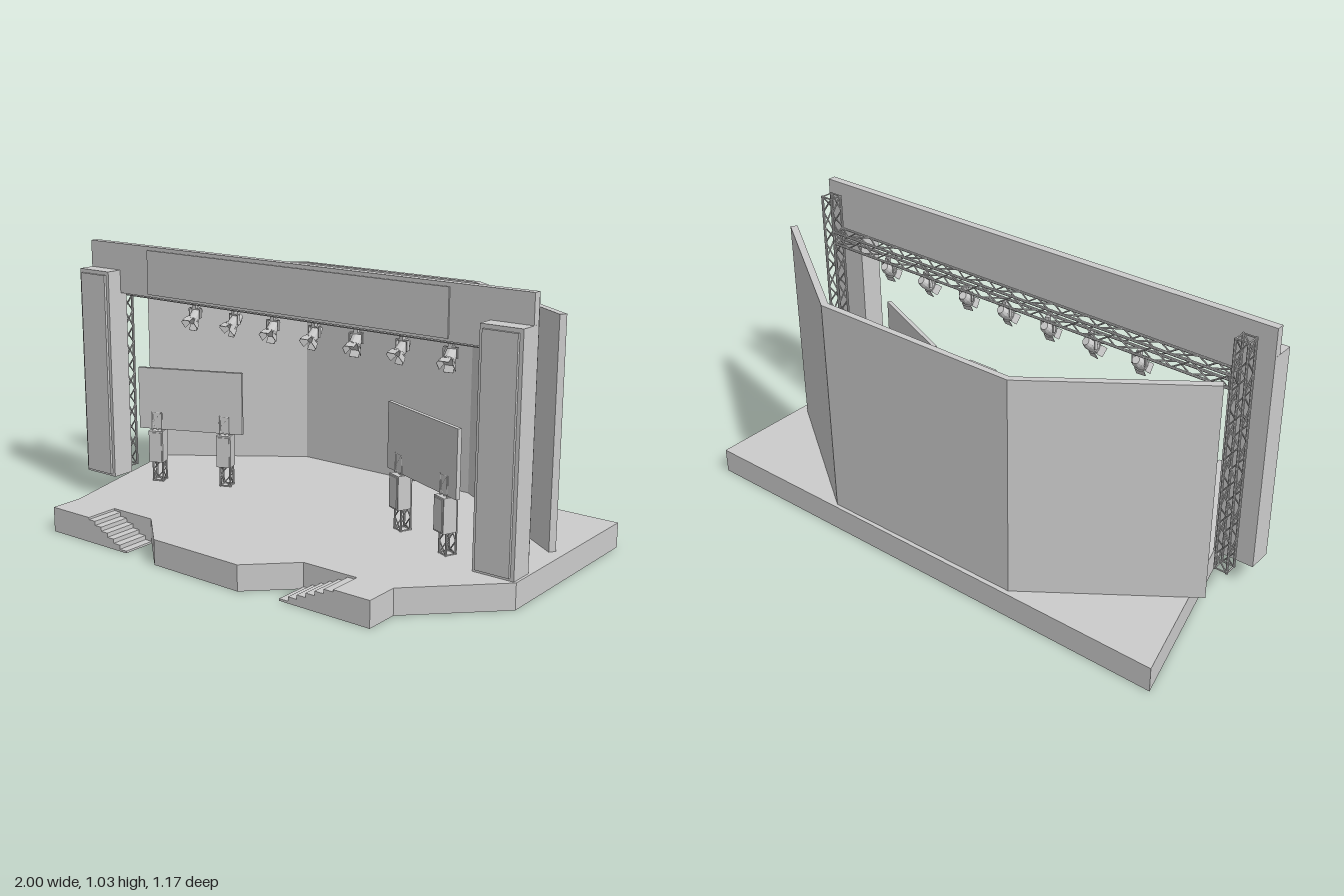
import * as THREE from 'three';
import { mergeGeometries } from 'three/addons/utils/BufferGeometryUtils.js';

const grey = new THREE.MeshStandardMaterial({ color: 0xcccccc, flatShading: true });
const FLOOR = 0.095;

function add(parent, name, geometry, x = 0, y = 0, z = 0) {
  const mesh = new THREE.Mesh(geometry, grey);
  mesh.name = name;
  mesh.position.set(x, y, z);
  parent.add(mesh);
  return mesh;
}

// Box given by its lower and upper corners
function boxBetween(parent, name, [x0, y0, z0], [x1, y1, z1]) {
  return add(parent, name, new THREE.BoxGeometry(x1 - x0, y1 - y0, z1 - z0),
    (x0 + x1) / 2, (y0 + y1) / 2, (z0 + z1) / 2);
}

// Plan outline of [x, z] points raised from y0 by height
function raisePlan(points, y0, height) {
  const shape = new THREE.Shape(points.map(([x, z]) => new THREE.Vector2(x, -z)));
  return new THREE.ExtrudeGeometry(shape, { depth: height, bevelEnabled: false })
    .rotateX(-Math.PI / 2).translate(0, y0, 0);
}

function rod(a, b, r, sides = 6) {
  const dir = b.clone().sub(a);
  const g = new THREE.CylinderGeometry(r, r, dir.length(), sides);
  g.applyQuaternion(new THREE.Quaternion().setFromUnitVectors(
    new THREE.Vector3(0, 1, 0), dir.normalize()));
  const mid = a.clone().add(b).multiplyScalar(0.5);
  return g.translate(mid.x, mid.y, mid.z);
}

// Square lattice truss rising along +y from the origin
function trussGeometry(width, length, panels, chord = 0.005, brace = 0.003) {
  const h = width / 2 - chord, parts = [];
  const corners = [[-h, -h], [h, -h], [h, h], [-h, h]];
  const at = (i, y) => new THREE.Vector3(corners[i % 4][0], y, corners[i % 4][1]);
  for (let i = 0; i < 4; i++) {
    parts.push(rod(at(i, 0), at(i, length), chord, 8));
    for (const y of [brace, length - brace]) parts.push(rod(at(i, y), at(i + 1, y), brace));
    for (let p = 0; p < panels; p++) {
      const flip = p % 2;
      parts.push(rod(at(i + flip, length * p / panels),
        at(i + 1 - flip, length * (p + 1) / panels), brace));
    }
  }
  return mergeGeometries(parts);
}

// Staircase descending from the outer platform towards the middle
function stairsGeometry(xTop, xEnd, z0, z1, steps) {
  const shape = new THREE.Shape();
  shape.moveTo(xTop, 0);
  for (let i = 0; i < steps; i++) {
    const y = FLOOR * (1 - (i + 0.5) / steps);
    shape.lineTo(xTop + (xEnd - xTop) * i / steps, y);
    shape.lineTo(xTop + (xEnd - xTop) * (i + 1) / steps, y);
  }
  shape.lineTo(xEnd, 0);
  return new THREE.ExtrudeGeometry(shape, { depth: z1 - z0, bevelEnabled: false })
    .translate(0, 0, z0);
}

// Spotlight hanging from y = 0, aimed forward and down
function createSpotlight() {
  const light = new THREE.Group();
  light.name = 'spotlight';
  add(light, 'clamp', new THREE.BoxGeometry(0.016, 0.022, 0.016), 0, -0.004, 0);
  add(light, 'yokeBar', new THREE.BoxGeometry(0.052, 0.005, 0.012), 0, -0.015, 0);
  for (const s of [-1, 1])
    add(light, 'yokeArm', new THREE.BoxGeometry(0.004, 0.036, 0.012), s * 0.025, -0.032, 0);
  const head = new THREE.Group();
  head.name = 'lampHead';
  head.position.set(0, -0.042, 0);
  head.rotation.x = 0.72;
  const turn = g => g.rotateX(Math.PI / 2);
  add(head, 'lampBack', turn(new THREE.CylinderGeometry(0.021, 0.014, 0.02, 12)), 0, 0, -0.024);
  add(head, 'lampBody', turn(new THREE.CylinderGeometry(0.021, 0.021, 0.036, 12)), 0, 0, 0.004);
  add(head, 'lampRim', turn(new THREE.CylinderGeometry(0.025, 0.025, 0.006, 12)), 0, 0, 0.024);
  for (let i = 0; i < 4; i++) {
    const flap = new THREE.BoxGeometry(0.036, 0.002, 0.026).translate(0, 0, 0.013)
      .rotateX(-0.35).translate(0, 0.021, 0.026).rotateZ(i * Math.PI / 2);
    add(head, 'barnDoor', flap);
  }
  light.add(head);
  return light;
}

// Video screen on two truss posts with loudspeakers below
function createScreen() {
  const unit = new THREE.Group();
  unit.name = 'screenUnit';
  boxBetween(unit, 'screen', [-0.212, 0.31, -0.008], [0.212, 0.555, 0.008]);
  for (const s of [-1, 1]) {
    add(unit, 'screenPost', trussGeometry(0.048, 0.285, 6, 0.004, 0.0025), s * 0.14, FLOOR, -0.014);
    boxBetween(unit, 'speaker', [s * 0.14 - 0.029, 0.178, -0.028], [s * 0.14 + 0.029, 0.305, 0.026]);
    boxBetween(unit, 'speakerGrille', [s * 0.14 - 0.024, 0.184, 0.026], [s * 0.14 + 0.024, 0.299, 0.03]);
  }
  return unit;
}

export function createModel() {
  const model = new THREE.Group();
  model.name = 'concertStage';

  // Stage floor with two notches for the stairs
  add(model, 'stageFloor', raisePlan([
    [-1, -0.59], [1, -0.59], [1, 0.15], [0.715, 0.43], [0.715, 0.56], [0.57, 0.56],
    [0.57, 0.43], [0.35, 0.43], [0.19, 0.585], [-0.2, 0.58], [-0.36, 0.43], [-0.55, 0.43],
    [-0.55, 0.56], [-0.74, 0.56], [-0.74, 0.43]], 0, FLOOR));
  add(model, 'rightStairs', stairsGeometry(-0.55, -0.36, 0.43, 0.56, 6));
  add(model, 'leftStairs', stairsGeometry(0.57, 0.35, 0.43, 0.56, 6));

  // Folded back wall
  add(model, 'backWall', raisePlan([
    [-0.95, -0.188], [-0.41, -0.572], [0.398, -0.575], [0.963, -0.185],
    [0.948, -0.163], [0.39, -0.55], [-0.402, -0.55], [-0.935, -0.165]], FLOOR, 0.825));

  // Portal: header, banner and pillars
  boxBetween(model, 'header', [-0.99, 0.835, 0.055], [0.99, 1.03, 0.086]);
  boxBetween(model, 'banner', [-0.68, 0.845, 0.086], [0.68, 1.016, 0.092]);
  for (const s of [-1, 1]) {
    const pillar = new THREE.Group();
    pillar.name = s > 0 ? 'leftPillar' : 'rightPillar';
    add(pillar, 'pillarBody', new THREE.BoxGeometry(0.157, 0.83, 0.095), 0, FLOOR + 0.415, 0.1025);
    add(pillar, 'pillarPanel', new THREE.BoxGeometry(0.13, 0.805, 0.01), 0, 0.508, 0.155);
    pillar.position.x = s * 0.912;
    model.add(pillar);
  }

  // Lighting rig: two towers and a cross truss
  for (const s of [-1, 1])
    add(model, 'trussTower', trussGeometry(0.058, 0.905, 14), s * 0.915, FLOOR, -0.008);
  add(model, 'crossTruss', trussGeometry(0.058, 1.772, 24).rotateZ(-Math.PI / 2), -0.886, 0.84, -0.01);

  const lampX = [-0.52, -0.32, -0.133, 0.06, 0.245, 0.44, 0.635];
  const lampYaw = [0.08, -0.2, 0.1, -0.08, 0.2, -0.15, 0.15];
  lampX.forEach((x, i) => {
    const light = createSpotlight();
    light.position.set(x, 0.81, -0.002);
    light.rotation.y = lampYaw[i];
    model.add(light);
  });

  // Screens turned towards the middle
  for (const s of [-1, 1]) {
    const unit = createScreen();
    unit.position.set(s < 0 ? -0.533 : 0.548, 0, 0.02);
    unit.rotation.y = -s * 0.4;
    model.add(unit);
  }
  return model;
}
